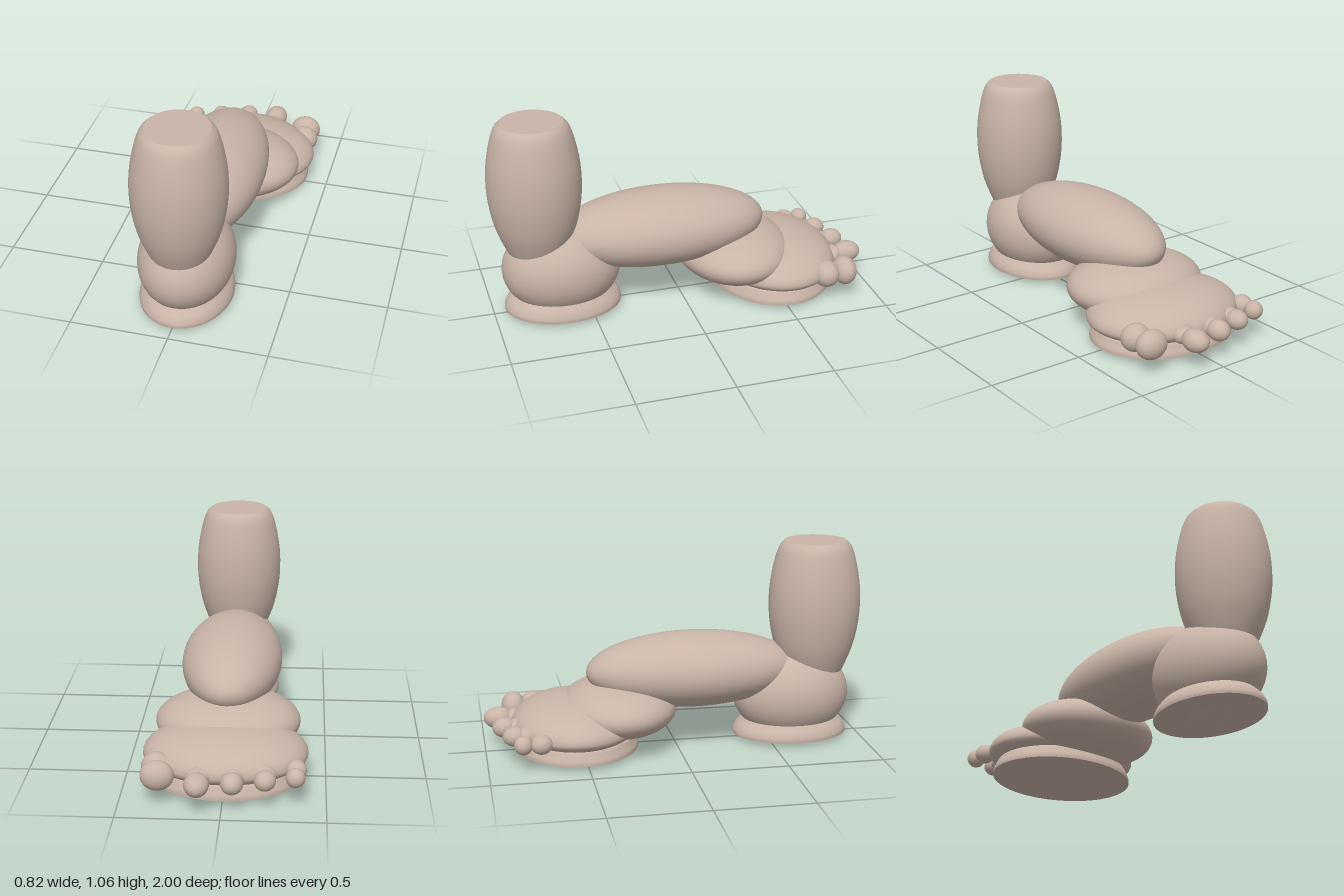
import * as THREE from 'three';

const skin = new THREE.MeshStandardMaterial({ color: 0xc9b4a7 });
skin.name = 'skin';

// Ellipsoid whose lower half may have a different height than its upper half
function blob(name, [x, y, z], [rx, ry, rz], lower = ry, detail = 48) {
  const geo = new THREE.SphereGeometry(1, detail, detail * 0.75);
  const pos = geo.attributes.position, nor = geo.attributes.normal;
  const n = new THREE.Vector3();
  for (let i = 0; i < pos.count; i++) {
    const px = pos.getX(i), py = pos.getY(i), pz = pos.getZ(i);
    const h = py < 0 ? lower : ry;
    pos.setXYZ(i, px * rx, py * h, pz * rz);
    n.set(px / rx, py / h, pz / rz).normalize();
    nor.setXYZ(i, n.x, n.y, n.z);
  }
  const mesh = new THREE.Mesh(geo, skin);
  mesh.name = name;
  mesh.position.set(x, y, z);
  return mesh;
}

// Turned side wall with an optional flat cap, stretched to an oval
function turned(name, profile, z, rx, rz, capTop) {
  const group = new THREE.Group();
  group.name = name;
  const curve = new THREE.SplineCurve(profile.map(([r, y]) => new THREE.Vector2(r, y)));
  const wall = new THREE.Mesh(new THREE.LatheGeometry(curve.getPoints(28), 56), skin);
  wall.name = name + 'Wall';
  const [r, y] = capTop ? profile[profile.length - 1] : profile[0];
  const cap = new THREE.Mesh(new THREE.CircleGeometry(r, 56), skin);
  cap.name = name + 'Cap';
  cap.rotation.x = capTop ? -Math.PI / 2 : Math.PI / 2;
  cap.position.y = y;
  group.add(wall, cap);
  group.position.z = z;
  group.scale.set(rx, 1, rz);
  return group;
}

export function createModel() {
  const model = new THREE.Group();
  model.name = 'foot';

  // Leg stump, barrel shaped with a flat top
  model.add(turned('leg', [
    [0.52, 0.28], [0.7, 0.37], [0.87, 0.48], [0.97, 0.6], [1, 0.71],
    [0.975, 0.82], [0.88, 0.94], [0.78, 1.01], [0.665, 1.04],
  ], 0.757, 0.236, 0.242, true));

  // Heel, arch and front of the foot
  model.add(
    blob('heel', [0, 0.22, 0.635], [0.242, 0.25, 0.312], 0.24),
    blob('arch', [0, 0.377, 0.1], [0.265, 0.198, 0.567]),
    blob('instep', [0, 0.195, -0.3], [0.37, 0.15, 0.305]),
    blob('ballOfFoot', [0, 0.12, -0.53], [0.412, 0.147, 0.33], 0.1),
  );

  // Flat pads under the heel and the ball
  model.add(
    turned('heelPad', [[1, 0], [1, 0.02], [0.95, 0.05], [0.85, 0.08], [0.78, 0.1]],
      0.633, 0.236, 0.308, false),
    turned('frontPad', [[1, 0], [0.995, 0.02], [0.965, 0.045], [0.93, 0.07], [0.86, 0.09]],
      -0.522, 0.385, 0.323, false),
  );

  // Toes: tip position and size, then knuckle position and size
  const toes = [
    ['littleToe', [-0.35, -0.825], [0.047, 0.048, 0.047], [-0.352, -0.735], [0.052, 0.05, 0.055]],
    ['fourthToe', [-0.205, -0.86], [0.053, 0.05, 0.06], [-0.2, -0.8], [0.06, 0.045, 0.05]],
    ['middleToe', [-0.05, -0.9], [0.055, 0.053, 0.064], [-0.05, -0.84], [0.055, 0.045, 0.05]],
    ['secondToe', [0.116, -0.923], [0.061, 0.057, 0.077], [0.116, -0.84], [0.06, 0.045, 0.05]],
    ['bigToe', [0.312, -0.832], [0.083, 0.075, 0.064], [0.322, -0.725], [0.078, 0.07, 0.07]],
  ];
  for (const [name, tip, tipSize, knuckle, knuckleSize] of toes) {
    const toe = new THREE.Group();
    toe.name = name;
    toe.add(
      blob(name + 'Tip', [tip[0], 0.123, tip[1]], tipSize, undefined, 28),
      blob(name + 'Knuckle', [knuckle[0], 0.123, knuckle[1]], knuckleSize, undefined, 28),
    );
    model.add(toe);
  }
  return model;
}
